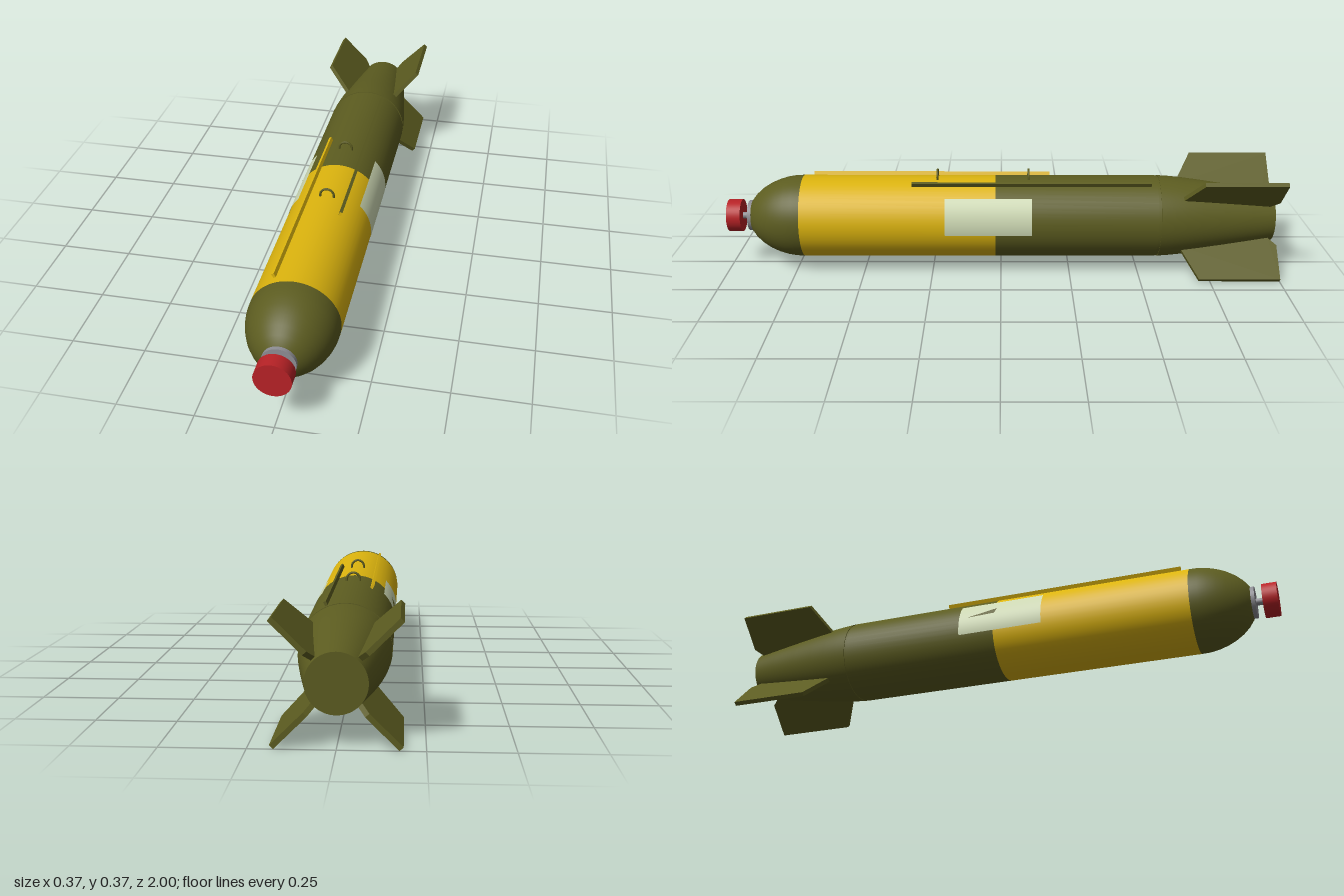
import * as THREE from 'three';

const paint = (name, color, side = THREE.FrontSide) => {
  const m = new THREE.MeshStandardMaterial({ color, side });
  m.name = name;
  return m;
};

export function createModel() {
  const olive = paint('olive', 0x5c5c20);
  const yellow = paint('yellow', 0xdcb40e);
  const red = paint('red', 0xb82226);
  const grey = paint('grey', 0x8e8e94);
  const cream = paint('pale green', 0xced9b4, THREE.DoubleSide);
  const mark = paint('olive mark', 0x5c5c20, THREE.DoubleSide);

  const model = new THREE.Group();
  model.name = 'bomb';
  const bomb = new THREE.Group(); // everything is built around the long axis
  bomb.name = 'assembly';
  bomb.position.y = 0.187;
  model.add(bomb);

  const add = (name, geometry, material) => {
    const mesh = new THREE.Mesh(geometry, material);
    mesh.name = name;
    bomb.add(mesh);
    return mesh;
  };
  // Turned part along z; profile pairs are [z, radius] from back to front
  const turned = (name, profile, material) => add(name,
    new THREE.LatheGeometry(profile.map(([z, r]) => new THREE.Vector2(r, z)), 64).rotateX(Math.PI / 2), material);
  // Closed cylinder along z
  const drum = (name, z0, z1, r, material) => add(name,
    new THREE.CylinderGeometry(r, r, z1 - z0, 48).rotateX(Math.PI / 2).translate(0, 0, (z0 + z1) / 2), material);

  const R = 0.149;

  // Body and nose
  drum('rearBody', -0.562, 0.02, R, olive);
  drum('frontBody', 0.02, 0.72, R, yellow);
  turned('nose', [[0.72, R], [0.75, 0.148], [0.78, 0.143], [0.81, 0.134], [0.84, 0.121],
    [0.87, 0.102], [0.893, 0.081], [0.91, 0.059], [0.919, 0.04], [0.92, 0]], olive);

  // Seam and tapered tail
  drum('tailSeam', -0.575, -0.56, 0.146, olive);
  turned('tailCone', [[-0.99, 0.09], [-0.9, 0.105], [-0.8, 0.121], [-0.72, 0.133],
    [-0.66, 0.141], [-0.61, 0.146], [-0.572, 0.1485]], olive);
  turned('tailShoulder', [[-0.572, 0.1485], [-0.5715, 0.14]], olive);
  turned('tailEnd', [[-0.99, 0], [-0.9899, 0.09]], olive);

  // Fuze with its cap
  drum('fuzeCollar', 0.912, 0.925, 0.055, grey);
  drum('fuzeShaft', 0.92, 0.955, 0.012, grey);
  drum('fuzeCap', 0.95, 1, 0.059, red);

  // Four diagonal fins, outlined as [radius, z]
  const outline = new THREE.Shape([[0.125, -0.645], [0.08, -0.96], [0.092, -0.97], [0.122, -1],
    [0.256, -1], [0.256, -0.71]].map(([r, z]) => new THREE.Vector2(r, z)));
  for (let i = 0; i < 4; i++) {
    const fin = new THREE.ExtrudeGeometry(outline, { depth: 0.016, bevelEnabled: false });
    fin.translate(0, 0, -0.008).rotateX(Math.PI / 2).rotateZ(Math.PI / 4 + i * Math.PI / 2);
    add('fin', fin, olive);
  }

  // Cable conduits along the top
  const conduit = (name, degrees, z0, z1, material) => {
    const box = new THREE.BoxGeometry(0.009, 0.02, z1 - z0);
    box.translate(0, 0.153, (z0 + z1) / 2).rotateZ(-THREE.MathUtils.degToRad(degrees));
    add(name, box, material);
  };
  conduit('leftConduit', 24.5, -0.54, 0.32, [olive, olive, olive, olive, yellow, olive]);
  conduit('rightConduit', -27, -0.18, 0.69, yellow);

  // Suspension lugs
  for (const z of [-0.1, 0.23]) {
    const lug = new THREE.TorusGeometry(0.0235, 0.004, 10, 24, Math.PI);
    add('lug', lug.translate(0, 0.153, z), olive);
    for (const x of [-0.0235, 0.0235]) {
      add('lugLeg', new THREE.CylinderGeometry(0.004, 0.004, 0.016, 10).translate(x, 0.146, z), olive);
    }
  }

  // Side panels wrapped on the body
  const rad = THREE.MathUtils.degToRad;
  for (const [name, start] of [['leftPanel', 90 - 9], ['rightPanel', 270 - 43]]) {
    const panel = new THREE.CylinderGeometry(0.1505, 0.1505, 0.31, 20, 1, true, rad(start), rad(52));
    add(name, panel.rotateX(Math.PI / 2).translate(0, 0, 0.045), cream);
  }

  // Small wedge mark on the right panel, corners as [elevation, z]
  const wedge = [[16, -0.08], [26, 0.033], [17.5, 0.025]].map(([e, z]) =>
    new THREE.Vector3(-0.152 * Math.cos(rad(e)), 0.152 * Math.sin(rad(e)), z));
  const wedgeGeometry = new THREE.BufferGeometry().setFromPoints(wedge);
  wedgeGeometry.computeVertexNormals();
  if (wedgeGeometry.attributes.normal.getX(0) > 0) {
    wedgeGeometry.setFromPoints(wedge.reverse());
    wedgeGeometry.computeVertexNormals();
  }
  add('panelMark', wedgeGeometry, mark);

  return model;
}
